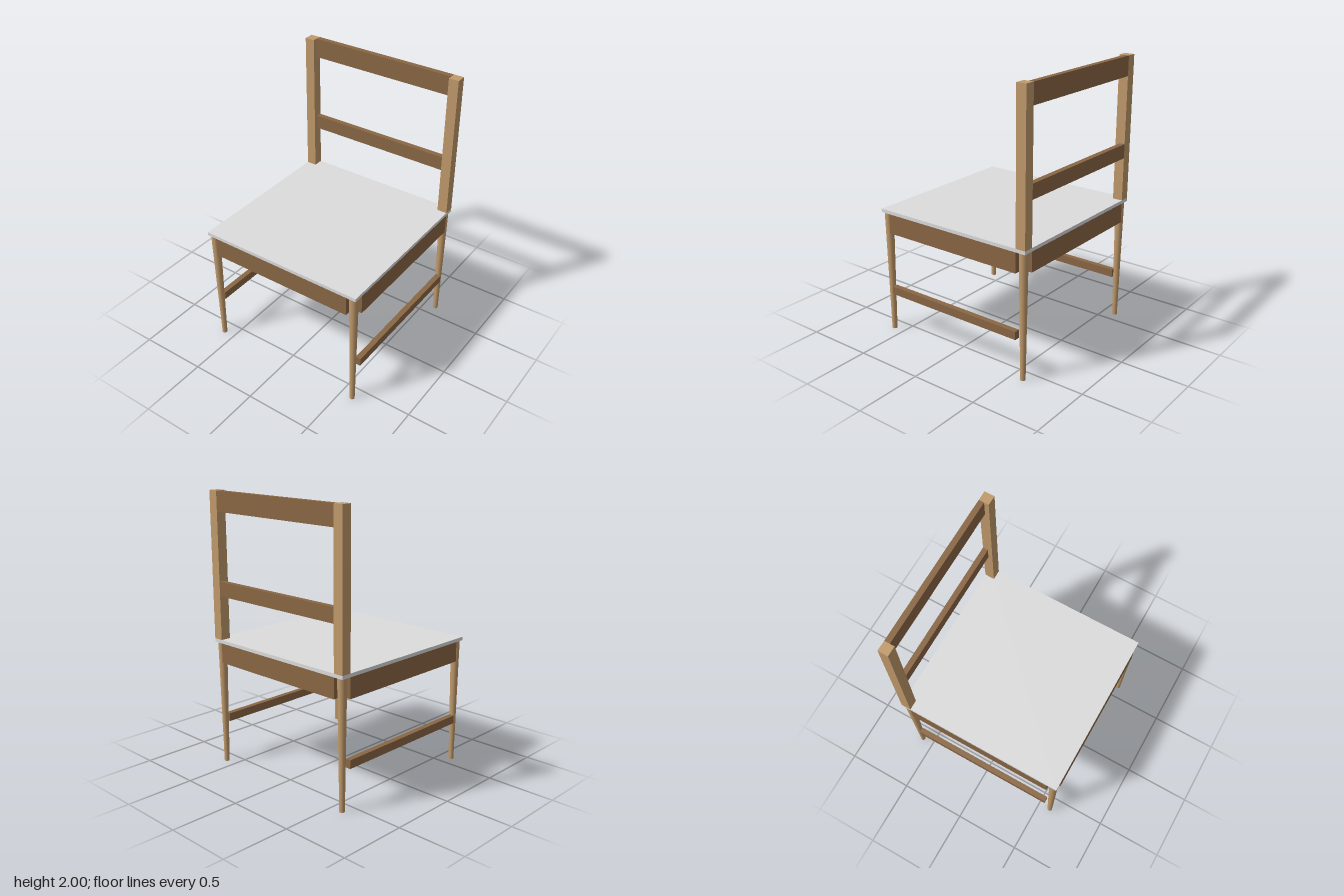
import * as THREE from 'three';

const lightWood = new THREE.MeshStandardMaterial({ name: 'lightWood', color: 0xc19a6b });
const darkWood = new THREE.MeshStandardMaterial({ name: 'darkWood', color: 0x8a6744 });
const paleGrey = new THREE.MeshStandardMaterial({ name: 'paleGrey', color: 0xdcdcdc });

const HALF = 0.63;            // half the seat width and depth
const POST = 0.074;           // square post section
const CORNER = HALF - POST / 2; // centre of legs and posts
const SPAN = 2 * (HALF - POST); // rail length between posts
const RAIL = 0.04;            // rail thickness
const EDGE = HALF - RAIL / 2; // centre of rails flush with the outside
const SEAT_BOTTOM = 0.92, SEAT_TOP = 0.945;

export function createModel() {
  const chair = new THREE.Group();
  chair.name = 'chair';

  // Box between two heights
  function box(name, material, w, y0, y1, d, x, z) {
    const mesh = new THREE.Mesh(new THREE.BoxGeometry(w, y1 - y0, d), material);
    mesh.name = name;
    mesh.position.set(x, (y0 + y1) / 2, z);
    chair.add(mesh);
  }

  box('seat', paleGrey, 2 * HALF, SEAT_BOTTOM, SEAT_TOP, 2 * HALF, 0, 0);

  // Backrest
  box('topRail', darkWood, SPAN, 1.857, 2, RAIL, 0, -EDGE);
  box('middleRail', darkWood, SPAN, 1.265, 1.37, RAIL, 0, -EDGE);

  // Aprons under the seat
  box('frontApron', darkWood, SPAN, 0.775, SEAT_BOTTOM, RAIL, 0, EDGE);
  box('backApron', darkWood, SPAN, 0.775, SEAT_BOTTOM, RAIL, 0, -EDGE);

  // Tapered round legs
  const legGeometry = new THREE.CylinderGeometry(0.032, 0.0185, SEAT_BOTTOM, 16);

  for (const [side, s] of [['left', 1], ['right', -1]]) {
    box(side + 'BackPost', lightWood, POST, SEAT_TOP, 2, POST, s * CORNER, -CORNER);
    box(side + 'Apron', darkWood, RAIL, 0.775, SEAT_BOTTOM, SPAN, s * EDGE, 0);
    box(side + 'Stretcher', darkWood, RAIL, 0.3, 0.36, SPAN, s * EDGE, 0);
    for (const [end, e] of [['Front', 1], ['Back', -1]]) {
      const leg = new THREE.Mesh(legGeometry, lightWood);
      leg.name = side + end + 'Leg';
      leg.position.set(s * CORNER, SEAT_BOTTOM / 2, e * CORNER);
      chair.add(leg);
    }
  }
  return chair;
}
